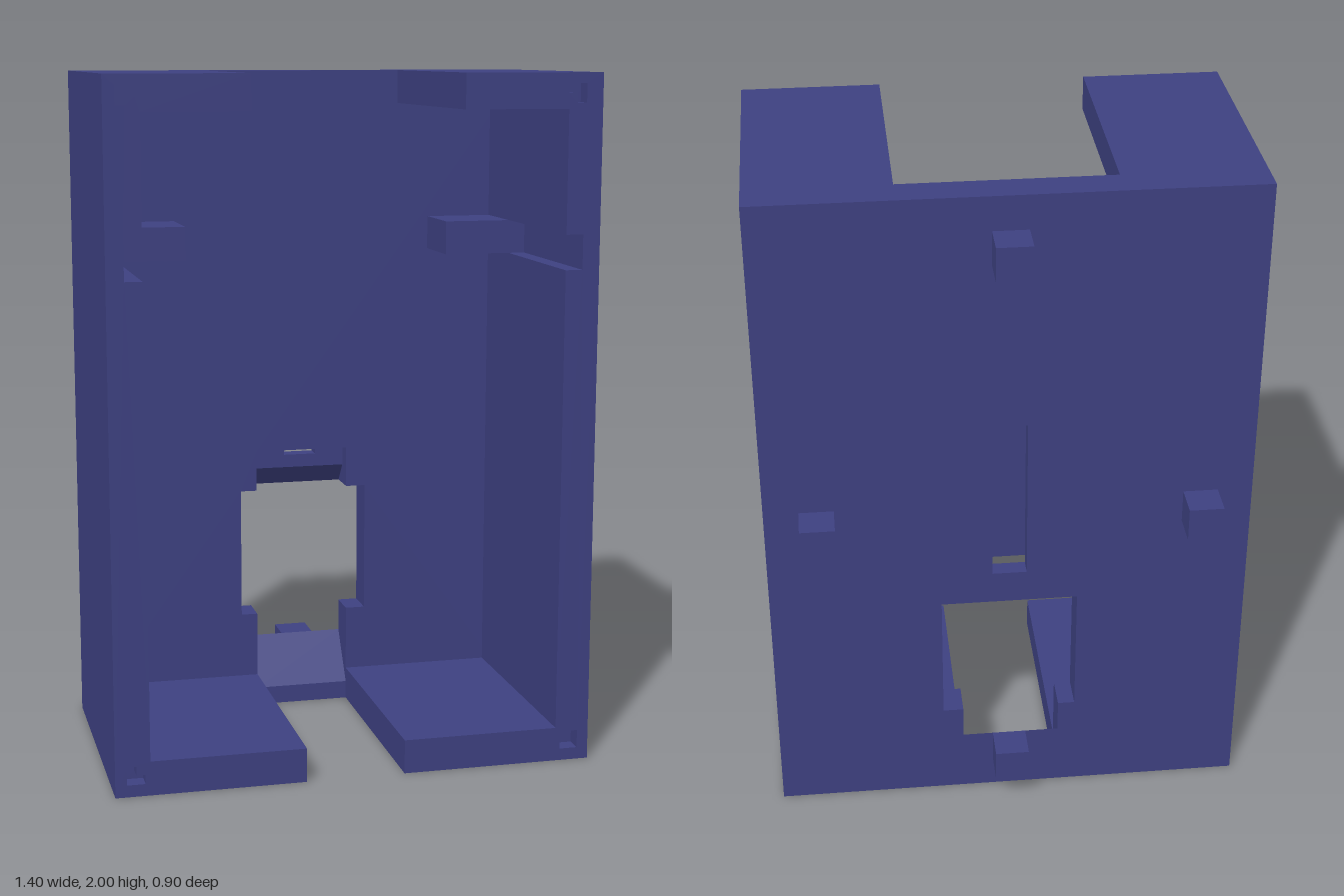
import * as THREE from 'three';

const material = new THREE.MeshStandardMaterial({ color: 0x3d4080, flatShading: true });

const points = (list) => list.map(([x, y]) => new THREE.Vector2(x, y));

export function createModel() {
  const group = new THREE.Group();

  const add = (name, geometry) => {
    const mesh = new THREE.Mesh(geometry, material);
    mesh.name = name;
    group.add(mesh);
    return mesh;
  };

  // Box given by its extents
  const box = (name, x0, x1, y0, y1, z0, z1) =>
    add(name, new THREE.BoxGeometry(x1 - x0, y1 - y0, z1 - z0))
      .position.set((x0 + x1) / 2, (y0 + y1) / 2, (z0 + z1) / 2);

  // Outline in x, y with holes, extruded between two z values
  const slab = (name, outline, holes, z0, z1) => {
    const shape = new THREE.Shape(points(outline));
    holes.forEach((h) => shape.holes.push(new THREE.Path(points(h))));
    const geometry = new THREE.ExtrudeGeometry(shape, { depth: z1 - z0, bevelEnabled: false });
    add(name, geometry).position.z = z0;
  };

  // Triangular filler across the opening, profile given as [z, y]
  const ramp = (name, profile, x0, x1) => {
    const shape = new THREE.Shape(points(profile.map(([z, y]) => [-z, y])));
    const geometry = new THREE.ExtrudeGeometry(shape, { depth: x1 - x0, bevelEnabled: false });
    geometry.rotateY(Math.PI / 2);
    add(name, geometry).position.x = x0;
  };

  // Back plate in two layers: stepped opening, shallow slot behind, recess in front
  const L = -0.15, R = 0.14;
  const plate = [[-0.7, 0], [0.7, 0], [0.7, 2], [-0.7, 2]];
  const opening = (top) => [
    [L, 0.055], [R, 0.055], [R, 0.3], [0.2, 0.3], [0.2, 0.7], [R, 0.7],
    [R, top], [L, top], [L, 0.7], [-0.2, 0.7], [-0.2, 0.3], [L, 0.3],
  ];
  const slot = [[-0.05, 0.8], [0.05, 0.8], [0.05, 1.3], [-0.05, 1.3]];
  slab('backPlateOuter', plate, [opening(0.76), slot], -0.35, -0.3);
  slab('backPlateInner', plate, [opening(0.825)], -0.3, -0.25);
  ramp('lowerRamp', [[-0.35, 0.055], [-0.35, 0.2], [-0.25, 0.055]], L, R);
  ramp('upperRamp', [[-0.35, 0.7], [-0.35, 0.76], [-0.3, 0.76]], L, R);

  // Side walls with top and bottom returns, grooves, corner pockets and inner tabs
  for (const s of [-1, 1]) {
    const side = s < 0 ? 'right' : 'left';
    const b = s < 0 ? 0.15 : 0.14;
    const mirror = (list) => list.map(([x, y]) => [s * x, y]);
    const wall = mirror([
      [0.7, 0], [0.7, 2], [0.3, 2], [0.3, 1.9], [0.6, 1.9], [0.6, 1.55],
      [0.65, 1.55], [0.65, 1.45], [0.6, 1.45], [0.6, 0.1], [b, 0.1], [b, 0],
    ]);
    // L-shaped pocket, notched towards the middle
    const pocket = (x, y, v) => mirror([
      [x, y], [x - 0.053, y], [x - 0.053, y + v * 0.027], [x - 0.027, y + v * 0.027],
      [x - 0.027, y + v * 0.053], [x, y + v * 0.053],
    ]);
    const pockets = [pocket(s < 0 ? 0.667 : 0.652, 1.97, -1), pocket(0.667, 0.035, 1)];
    slab(side + 'Wall', wall, [], -0.25, 0.4);
    slab(side + 'WallRim', wall, pockets, 0.4, 0.45);
    box(side + 'Tab', Math.min(s * 0.4, s * 0.65), Math.max(s * 0.4, s * 0.65),
      1.45, 1.55, -0.25, -0.05);
  }

  // Mounting pegs on the back
  for (const [x, y] of [[0, 1.85], [0, 0.15], [-0.55, 1], [0.55, 1]]) {
    box('backPeg', x - 0.05, x + 0.05, y - 0.05, y + 0.05, -0.45, -0.35);
  }

  return group;
}
